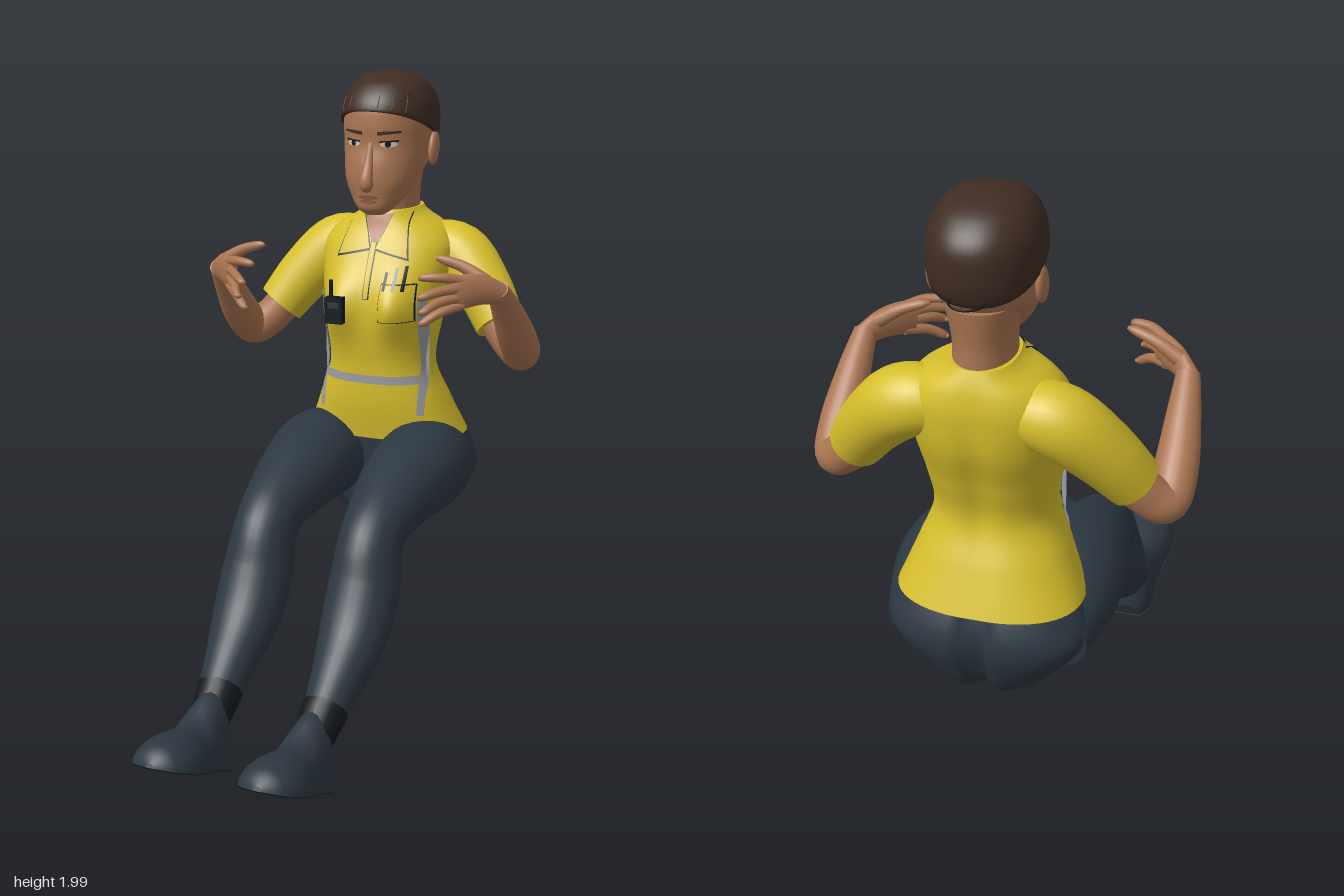
import * as THREE from 'three';

const mat = (name, color, side = THREE.FrontSide) => {
  const m = new THREE.MeshStandardMaterial({ color, side });
  m.name = name;
  return m;
};

// Smooth interpolation of table rows; column 0 is the key
function at(rows, k) {
  const n = rows.length - 1;
  let i = 0;
  while (i < n - 1 && k > rows[i + 1][0]) i++;
  const h = rows[i + 1][0] - rows[i][0], u = Math.min(1, Math.max(0, (k - rows[i][0]) / h));
  const slope = (j, c) => {
    const a = rows[Math.max(0, j - 1)], b = rows[Math.min(n, j + 1)];
    return (b[c] - a[c]) / (b[0] - a[0]);
  };
  return rows[i].slice(1).map((p, q) => {
    const c = q + 1, d = rows[i + 1][c] - p, m0 = slope(i, c) * h, m1 = slope(i + 1, c) * h;
    return p + u * m0 + u * u * (3 * d - 2 * m0 - m1) + u * u * u * (m0 + m1 - 2 * d);
  });
}

function buffer(pos, idx) {
  const g = new THREE.BufferGeometry();
  g.setAttribute('position', new THREE.Float32BufferAttribute(pos.flat(), 3));
  g.setIndex(idx);
  g.computeVertexNormals();
  return g;
}

// Closed skin over a stack of rings, with flat caps
function skin(rings) {
  const n = rings[0].length, pos = rings.flat(), idx = [];
  for (let j = 0; j < rings.length - 1; j++) for (let i = 0; i < n; i++) {
    const a = j * n + i, b = j * n + (i + 1) % n;
    idx.push(a, a + n, b, b, a + n, b + n);
  }
  [rings[0], rings[rings.length - 1]].forEach((ring, end) => {
    const s = pos.length;
    pos.push(...ring, [0, 1, 2].map(c => ring.reduce((t, p) => t + p[c], 0) / n));
    for (let i = 0; i < n; i++) {
      const k = (i + 1) % n;
      idx.push(s + n, s + (end ? k : i), s + (end ? i : k));
    }
  });
  return buffer(pos, idx);
}

// Limb along a path of [x, y, z, sideRadius, otherRadius]
function limb(path, ref, sides = 20, per = 6) {
  const rows = path.map((p, i) => [i, ...p]), rings = [], steps = (path.length - 1) * per;
  const R = new THREE.Vector3(...ref);
  for (let j = 0; j <= steps; j++) {
    const k = j / per, p = at(rows, k), a = at(rows, k - 0.05), b = at(rows, k + 0.05);
    const T = new THREE.Vector3(b[0] - a[0], b[1] - a[1], b[2] - a[2]).normalize();
    const A = R.clone().cross(T).normalize(), B = A.clone().cross(T);
    rings.push(Array.from({ length: sides }, (_, i) => {
      const u = i / sides * Math.PI * 2, c = Math.cos(u) * p[3], s = Math.sin(u) * (p[4] ?? p[3]);
      return [p[0] + A.x * c + B.x * s, p[1] + A.y * c + B.y * s, p[2] + A.z * c + B.z * s];
    }));
  }
  return skin(rings);
}

// Upright body from rows of [y, halfWidth, frontZ, backZ]
function upright(rows, e = 0.85, bump = () => 0) {
  const pow = v => Math.sign(v) * Math.abs(v) ** e;
  const pt = (u, y, off = 0) => {
    const [a, f, b] = at(rows, y), s = Math.sin(u), x = (a + off) * pow(Math.cos(u));
    return [x, y, (f + b) / 2 + ((f - b) / 2 + off) * pow(s) + bump(x, y, s)];
  };
  const frontZ = (x, y) => {
    const a = at(rows, y)[0], c = Math.min(Math.abs(x) / a, 0.98) ** (1 / e);
    return pt(Math.acos(c), y)[2];
  };
  const y0 = rows[0][0], y1 = rows[rows.length - 1][0], steps = 48, sides = 56;
  const geo = skin(Array.from({ length: steps + 1 }, (_, j) =>
    Array.from({ length: sides }, (_, i) => pt(i / sides * Math.PI * 2, y0 + (y1 - y0) * j / steps))));
  return { geo, pt, frontZ };
}

// Thin patch that follows the front of an upright body
function patch(body, shape, off, n = 10) {
  const pos = [], idx = [];
  for (let j = 0; j <= n; j++) for (let i = 0; i <= n; i++) {
    const [x, y] = shape(i / n, j / n);
    pos.push([x, y, body.frontZ(x, y) + off]);
    const a = j * (n + 1) + i;
    if (i < n && j < n) idx.push(a, a + 1, a + n + 1, a + 1, a + n + 2, a + n + 1);
  }
  return buffer(pos, idx);
}
const quad = (A, B, C, D) => (s, t) => [0, 1].map(c =>
  (A[c] * (1 - s) + B[c] * s) * (1 - t) + (D[c] * (1 - s) + C[c] * s) * t);
const rect = (x0, x1, y0, y1) => quad([x0, y0], [x1, y0], [x1, y1], [x0, y1]);
const oval = (x, y, w, h) => (s, t) =>
  [x + w * (2 * s - 1), y + h * (2 * t - 1) * Math.sqrt(Math.max(0, 1 - (2 * s - 1) ** 2))];

function mirror(geo) {
  const g = geo.clone().scale(-1, 1, 1), ix = g.index.array;
  for (let i = 0; i < ix.length; i += 3) [ix[i], ix[i + 1]] = [ix[i + 1], ix[i]];
  return g;
}

export function createModel() {
  const model = new THREE.Group();
  const yellow = mat('shirt yellow', 0xd6be2c), slate = mat('trouser slate', 0x2d3842);
  const tan = mat('skin', 0xaa7552), brown = mat('hair brown', 0x402d23);
  const grey = mat('strap grey', 0x9a9da1, THREE.DoubleSide), black = mat('black', 0x14181c, THREE.DoubleSide);
  const white = mat('eye white', 0xc9c2bc), lip = mat('lip', 0x8d5643);
  const add = (name, geo, m) => {
    const mesh = new THREE.Mesh(geo, m);
    mesh.name = name;
    model.add(mesh);
  };
  const pair = (name, geo, m) => { add('left ' + name, geo, m); add('right ' + name, mirror(geo), m); };

  // Torso, with chest fullness and a groove down the spine
  const torso = upright([[0.83, 0.265, -0.42, -0.785], [0.95, 0.215, -0.4, -0.735], [1.07, 0.172, -0.395, -0.69],
    [1.2, 0.185, -0.38, -0.72], [1.33, 0.205, -0.39, -0.765], [1.45, 0.215, -0.44, -0.775],
    [1.51, 0.175, -0.475, -0.765], [1.55, 0.105, -0.49, -0.75], [1.57, 0.09, -0.5, -0.74]], 0.85, (x, y, s) => s > 0
    ? 0.055 * s * Math.exp(-(((Math.abs(x) - 0.1) / 0.065) ** 2) - ((y - 1.27) / 0.09) ** 2)
    : 0.018 * Math.exp(-((x / 0.035) ** 2) - ((y - 1.2) / 0.25) ** 2));
  add('shirt body', torso.geo, yellow);
  pair('sleeve', limb([[0.1, 1.43, -0.66, 0.085], [0.21, 1.415, -0.665, 0.1], [0.31, 1.32, -0.625, 0.092],
    [0.385, 1.215, -0.578, 0.08]], [-0.58, -0.56, 0.49], 28), yellow);

  // Seat of the trousers
  add('trouser seat', upright([[0.54, 0.13, -0.48, -0.72], [0.6, 0.2, -0.46, -0.76], [0.72, 0.285, -0.45, -0.8],
    [0.82, 0.262, -0.44, -0.775], [0.88, 0.21, -0.44, -0.73]], 0.85,
  (x, y, s) => s < 0 ? 0.05 * Math.exp(-((x / 0.025) ** 2)) : 0).geo, slate);

  // Legs
  pair('leg', limb([[0.16, 0.71, -0.66, 0.13, 0.11], [0.18, 0.75, -0.45, 0.152, 0.15], [0.175, 0.735, -0.25, 0.135, 0.13],
    [0.175, 0.69, -0.07, 0.105, 0.105], [0.175, 0.625, 0.015, 0.098, 0.108], [0.178, 0.51, 0.06, 0.11, 0.115],
    [0.178, 0.39, 0.15, 0.105, 0.1], [0.175, 0.29, 0.27, 0.08, 0.08], [0.17, 0.19, 0.39, 0.06, 0.068]],
  [0, 0.75, -0.66].map((v, i) => i ? v * 0.001 : 0).map((v, i) => [0, 0.66, 0.75][i]), 28), slate);
  pair('sock', limb([[0.172, 0.235, 0.345, 0.07], [0.168, 0.18, 0.42, 0.062]], [0, 0.66, 0.75]), black);

  // Shoes: [distance from heel, halfWidth, height] along a tilted sole
  const shoe = [[0, 0.045, 0.06], [0.04, 0.075, 0.135], [0.09, 0.08, 0.22], [0.13, 0.078, 0.205], [0.21, 0.087, 0.125],
    [0.3, 0.1, 0.1], [0.37, 0.086, 0.078], [0.41, 0.055, 0.05], [0.43, 0.012, 0.012]];
  const place = (x, up, s) => [0.165 + x, 0.013 + s * 0.42 + up * 0.91, 0.41 + s * 0.91 - up * 0.42];
  const upper = [], solePos = [], soleIdx = [];
  for (let j = 0; j <= 40; j++) {
    const s = 0.43 * j / 40, [w, h] = at(shoe, s);
    upper.push(Array.from({ length: 28 }, (_, i) => {
      const u = i / 28 * Math.PI * 2;
      return place(w * Math.cos(u), Math.max(0, -h * Math.sin(u)), s);
    }));
    solePos.push(place(-w, -0.004, s), place(w, -0.004, s));
    if (j) soleIdx.push(2 * j - 2, 2 * j - 1, 2 * j, 2 * j - 1, 2 * j + 1, 2 * j);
  }
  pair('shoe', skin(upper), slate);
  pair('sole', buffer(solePos, soleIdx), black);

  // Arms
  pair('arm', limb([[0.35, 1.25, -0.595, 0.06], [0.42, 1.17, -0.565, 0.06], [0.47, 1.14, -0.535, 0.06],
    [0.477, 1.21, -0.455, 0.06], [0.472, 1.31, -0.36, 0.047], [0.465, 1.39, -0.28, 0.033]], [-0.58, -0.56, 0.49], 24), tan);

  // Hands
  pair('palm', limb([[0.475, 1.375, -0.29, 0.026, 0.032], [0.43, 1.395, -0.235, 0.024, 0.046],
    [0.385, 1.395, -0.185, 0.02, 0.052], [0.355, 1.39, -0.16, 0.012, 0.042]], [0, 1, 0]), tan);
  const fingers = [[1.43, 0.27, 1.435, -0.125], [1.405, 0.28, 1.385, -0.085], [1.38, 0.29, 1.345, -0.075], [1.355, 0.28, 1.305, -0.1]];
  fingers.forEach(([y, tx, ty, tz], i) => pair('finger ' + (i + 1), limb([[0.385, y, -0.185, 0.015],
    [0.335, (y + ty) / 2 + 0.008, (tz - 0.185) / 2 + 0.012, 0.0145], [tx + 0.015, ty + 0.005, tz, 0.012], [tx, ty, tz, 0.005]],
  [0, 1, 0], 10, 4), tan));
  pair('thumb', limb([[0.435, 1.415, -0.255, 0.024], [0.37, 1.455, -0.25, 0.018], [0.31, 1.475, -0.24, 0.014],
    [0.285, 1.48, -0.235, 0.006]], [0, 1, 0], 10, 4), tan);

  // Neck and head
  add('neck', upright([[1.48, 0.095, -0.5, -0.74], [1.56, 0.083, -0.5, -0.735], [1.63, 0.083, -0.5, -0.735],
    [1.73, 0.095, -0.54, -0.748]], 1).geo, tan);
  const head = upright([[1.563, 0.03, -0.425, -0.48], [1.58, 0.055, -0.402, -0.52], [1.62, 0.086, -0.396, -0.58],
    [1.67, 0.11, -0.39, -0.63], [1.72, 0.126, -0.392, -0.72], [1.78, 0.136, -0.404, -0.755], [1.85, 0.139, -0.402, -0.765],
    [1.91, 0.13, -0.413, -0.755], [1.96, 0.1, -0.458, -0.705], [1.982, 0.062, -0.51, -0.65], [1.99, 0.02, -0.56, -0.6]], 0.92);
  add('head', head.geo, tan);
  pair('ear', new THREE.SphereGeometry(1, 16, 12).scale(0.016, 0.055, 0.034).rotateX(-0.2).translate(0.143, 1.762, -0.595), tan);
  add('nose', limb([[0, 1.79, -0.412, 0.01], [0, 1.73, -0.394, 0.015], [0, 1.685, -0.377, 0.02], [0, 1.662, -0.378, 0.022],
    [0, 1.65, -0.392, 0.014]], [1, 0, 0], 14), tan);
  add('upper lip', patch(head, oval(0, 1.622, 0.035, 0.007), 0.005), lip);
  add('lower lip', patch(head, oval(0, 1.609, 0.029, 0.007), 0.006), lip);
  pair('eye', patch(head, oval(0.058, 1.788, 0.025, 0.009), 0.004), white);
  pair('pupil', patch(head, oval(0.057, 1.788, 0.009, 0.009), 0.006), black);
  pair('eyelid line', patch(head, quad([0.03, 1.793], [0.087, 1.796], [0.085, 1.801], [0.034, 1.798]), 0.006), black);
  pair('eyebrow', patch(head, quad([0.025, 1.815], [0.095, 1.823], [0.09, 1.829], [0.025, 1.827]), 0.005), brown);

  // Hair cap with a sloping hairline
  const hairline = u => {
    let y = 1.85;
    for (let k = 0; k < 6; k++) y = 1.89 + (head.pt(u, y)[2] + 0.4) * 0.4;
    return y;
  };
  const hairRings = Array.from({ length: 22 }, (_, j) => Array.from({ length: 56 }, (_, i) => {
    const u = i / 56 * Math.PI * 2, y0 = hairline(u), t = Math.max(0, j - 1) / 20;
    const p = head.pt(u, y0 + (1.99 - y0) * Math.sin(t * Math.PI / 2), j ? 0.01 : -0.01);
    return [p[0], p[1] + 0.01 * t, p[2]];
  }));
  add('hair', skin(hairRings), brown);
  [-0.75, -0.45, -0.15, 0.2, 0.5, 0.8].forEach((a, i) => {
    const u = Math.PI / 2 + a, y0 = hairline(u) + 0.012;
    add('hair groove ' + (i + 1), limb([0, 0.35, 0.65, 0.85].map(t =>
      [...head.pt(u + a * t * 0.2, y0 + (1.972 - y0) * t, 0.0105), 0.002]), [1, 0, 0], 5, 4), black);
  });
  add('hair band', new THREE.TorusGeometry(0.045, 0.003, 6, 32).rotateX(Math.PI / 2).translate(0, 1.77, -0.76), black);

  // Collar, placket and pocket
  add('open neckline', patch(torso, quad([-0.002, 1.46], [0.002, 1.46], [0.055, 1.56], [-0.055, 1.56]), 0.005), tan);
  pair('collar edge', patch(torso, quad([0.004, 1.45], [0.122, 1.422], [0.092, 1.56], [0.05, 1.565]), 0.007), black);
  pair('collar', patch(torso, quad([0.01, 1.456], [0.116, 1.43], [0.09, 1.562], [0.052, 1.567]), 0.011), yellow);
  const outlined = (name, x0, x1, y0, y1) => {
    add(name + ' edge', patch(torso, rect(x0, x1, y0, y1), 0.004), black);
    add(name, patch(torso, rect(x0 + 0.003, x1 - 0.003, y0 + 0.003, y1 - 0.003), 0.008), yellow);
  };
  outlined('placket', -0.011, 0.011, 1.3, 1.475);
  outlined('pocket', 0.05, 0.155, 1.235, 1.355);
  [[0.065, 1.39], [0.095, 1.405], [0.122, 1.41]].forEach(([x, top], i) =>
    add('pen ' + (i + 1), patch(torso, rect(x - 0.005, x + 0.005, 1.335, top), 0.014), i === 1 ? grey : black));

  // Chest straps, belt and radio
  pair('chest strap', patch(torso, rect(0.16, 0.18, 0.92, 1.31), 0.014, 24), grey);
  add('waist strap', patch(torso, rect(-0.17, 0.17, 1.022, 1.05), 0.01, 24), grey);
  const rz = torso.frontZ(-0.085, 1.27) + 0.012;
  add('radio', new THREE.BoxGeometry(0.058, 0.085, 0.03).translate(-0.086, 1.268, rz), black);
  add('radio panel', new THREE.BoxGeometry(0.035, 0.018, 0.004).translate(-0.086, 1.285, rz + 0.016), slate);
  add('radio antenna', new THREE.CylinderGeometry(0.006, 0.006, 0.06, 10).translate(-0.1, 1.335, rz), black);
  return model;
}
